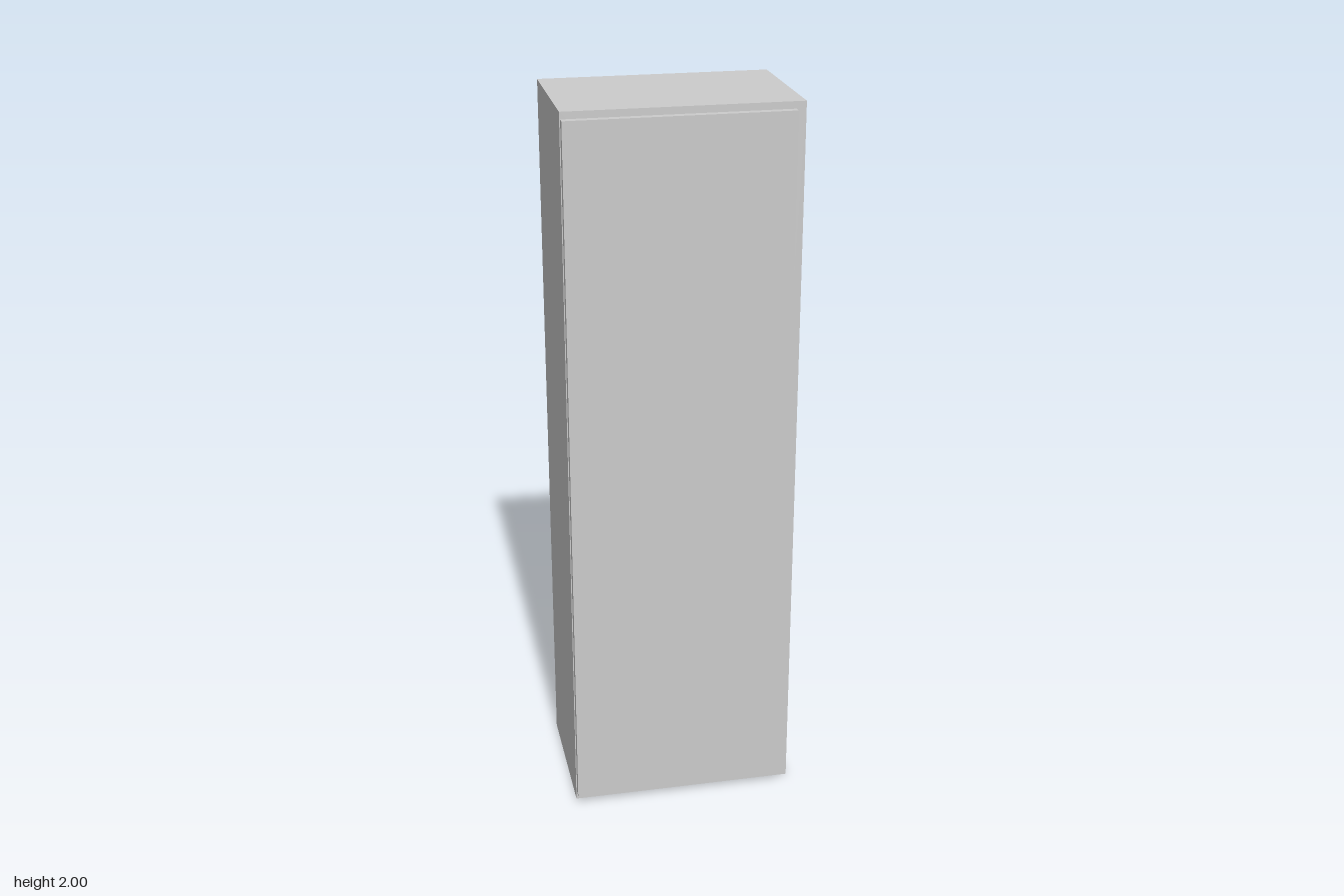
import * as THREE from 'three';

const grey = new THREE.MeshStandardMaterial({ color: 0xcccccc, side: THREE.DoubleSide });
const dark = new THREE.MeshStandardMaterial({ color: 0x777777 });

const W = 0.626, H = 2, FRONT = 0.18, BACK = -0.22;
const T = 0.0275;           // frame and shelf thickness
const CAVITY_BACK = -0.18;  // rear wall of each compartment
const COUNT = 3;

function add(parent, name, geometry, material, x, y, z) {
  const mesh = new THREE.Mesh(geometry, material);
  mesh.name = name;
  mesh.position.set(x, y, z);
  parent.add(mesh);
  return mesh;
}

// Thin-walled box without its front, and optionally without its back
function openBox(w, h, d, withBack) {
  const g = new THREE.BoxGeometry(w, h, d);
  const index = Array.from(g.index.array);
  g.setIndex(withBack ? [...index.slice(0, 24), ...index.slice(30, 36)] : index.slice(0, 24));
  g.clearGroups();
  return g;
}

function rectangle(Type, x0, y0, x1, y1) {
  const p = new Type();
  p.moveTo(x0, y0).lineTo(x1, y0).lineTo(x1, y1).lineTo(x0, y1).closePath();
  return p;
}

export function createModel() {
  const model = new THREE.Group();
  model.name = 'cabinet';

  // Outer shell, open at the rear
  add(model, 'cabinetShell', openBox(W, H, FRONT - BACK, false), grey, 0, H / 2, (FRONT + BACK) / 2);

  // Front frame with one opening per compartment, each lined by a recessed tray
  const frame = rectangle(THREE.Shape, -W / 2, 0, W / 2, H);
  const w = W - 2 * T, h = (H - (COUNT + 1) * T) / COUNT;
  for (let i = 0; i < COUNT; i++) {
    const y = T + i * (h + T);
    frame.holes.push(rectangle(THREE.Path, -w / 2, y, w / 2, y + h));
    add(model, 'compartment', openBox(w, h, FRONT - CAVITY_BACK, true), grey,
      0, y + h / 2, (FRONT + CAVITY_BACK) / 2);
  }
  add(model, 'frontFrame', new THREE.ShapeGeometry(frame), grey, 0, 0, FRONT);

  // Door standing slightly off the frame
  add(model, 'door', new THREE.BoxGeometry(0.595, 1.95, 0.021), grey, -0.0155, 1.01, 0.2075);

  // Hinges bridging the gap on the model's left
  for (const y of [0.34, 1.663]) {
    const hinge = new THREE.Group();
    hinge.name = 'hinge';
    hinge.position.set(0.271, y, 0);
    add(hinge, 'hingeLeaf', new THREE.BoxGeometry(0.022, 0.125, 0.012), dark, 0, 0, 0.191);
    add(hinge, 'hingeKnuckle', new THREE.BoxGeometry(0.022, 0.045, 0.006), dark, 0, 0, 0.183);
    model.add(hinge);
  }
  return model;
}
